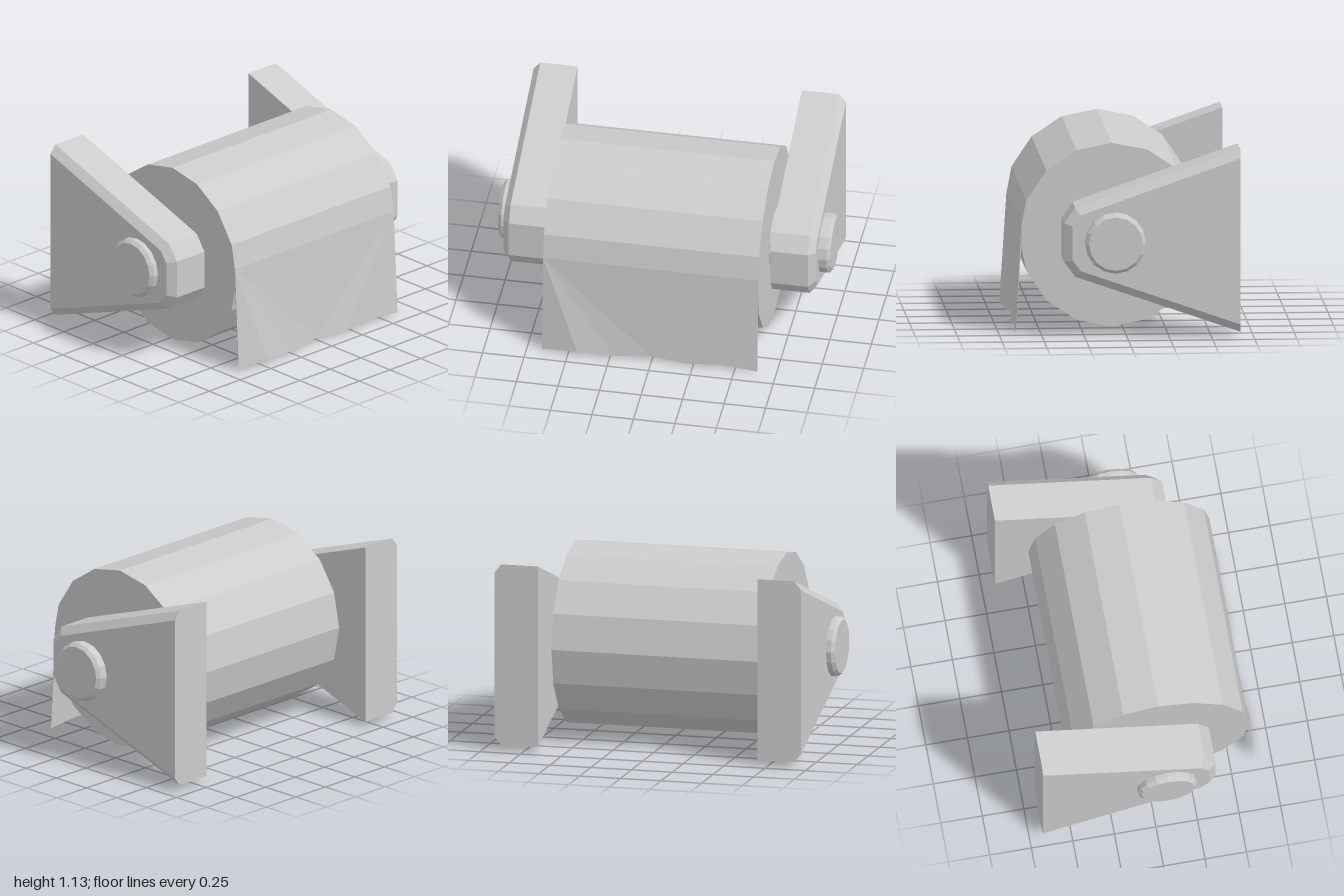
import * as THREE from 'three';

const AXIS_Y = 0.58, AXIS_Z = 0.075;

// Flat-shaded mesh from a list of [x, y, z] corners, three per triangle
function facetMesh(name, corners, side = THREE.FrontSide) {
  const geometry = new THREE.BufferGeometry();
  geometry.setAttribute('position', new THREE.Float32BufferAttribute(corners.flat(), 3));
  geometry.computeVertexNormals();
  const mesh = new THREE.Mesh(geometry,
    new THREE.MeshStandardMaterial({ color: 0xcccccc, flatShading: true, side }));
  mesh.name = name;
  return mesh;
}

// Solid along x through convex [z, y] rings, with capped ends
function loft(name, sections) {
  const rings = sections.map(([x, ring]) => ring.map(([z, y]) => [x, y, z]));
  const n = rings[0].length, last = rings[rings.length - 1], out = [];
  for (let s = 0; s + 1 < rings.length; s++) {
    const a = rings[s], b = rings[s + 1];
    for (let i = 0; i < n; i++) {
      const j = (i + 1) % n;
      out.push(a[i], a[j], b[j], a[i], b[j], b[i]);
    }
  }
  for (let i = 1; i + 1 < n; i++) {
    out.push(last[0], last[i], last[i + 1], rings[0][0], rings[0][i + 1], rings[0][i]);
  }
  return facetMesh(name, out);
}

function circle(radius) {
  return Array.from({ length: 16 }, (_, i) => {
    const a = i * Math.PI / 8;
    return [AXIS_Z + radius * Math.sin(a), AXIS_Y + radius * Math.cos(a)];
  });
}

export function createModel() {
  const model = new THREE.Group();

  // Paper roll, its front ridge cut flat where the loose sheet leaves it
  const rollRing = circle(0.55);
  rollRing.splice(4, 1, [0.612, 0.64], [0.612, 0.51]);
  model.add(loft('paperRoll', [[-0.66, rollRing], [0.635, rollRing]]));

  // Loose sheet with a wavy torn lower edge, tapering to nothing
  const hem = [
    [-0.66, 0, 0.645], [-0.445, 0.022, 0.67], [-0.23, 0.003, 0.646], [-0.012, 0.022, 0.632],
    [0.203, 0.003, 0.646], [0.42, 0.02, 0.642], [0.635, 0, 0.645],
  ];
  const sheet = [];
  const fan = (y, flip) => {
    const left = [-0.66, y, 0.613], right = [0.635, y, 0.613];
    const add = (a, b, c) => sheet.push(...(flip ? [a, c, b] : [a, b, c]));
    for (let i = 0; i < 6; i++) add(i < 3 ? left : right, hem[i], hem[i + 1]);
    add(left, hem[3], right);
  };
  fan(0.64, false);
  fan(0.51, true);
  sheet.push([-0.66, 0.64, 0.613], [-0.66, 0.51, 0.613], hem[0]);
  sheet.push([0.635, 0.64, 0.613], hem[6], [0.635, 0.51, 0.613]);
  model.add(facetMesh('looseSheet', sheet, THREE.DoubleSide));

  // Side brackets, bevelled on the outer face
  const outer = [[-0.67, 1.125], [0.31, 0.785], [0.375, 0.69], [0.375, 0.46], [0.31, 0.37], [-0.67, 0.03]];
  const inner = [[-0.67, 1.075], [0.28, 0.743], [0.327, 0.677], [0.327, 0.473], [0.28, 0.41], [-0.67, 0.08]];
  model.add(loft('leftBracket', [[0.665, outer], [0.89, outer], [0.93, inner]]));
  model.add(loft('rightBracket', [[-0.95, inner], [-0.91, outer], [-0.685, outer]]));

  // Axle with bevelled ends
  const pin = circle(0.18), pinEnd = circle(0.16);
  model.add(loft('axle', [[-1, pinEnd], [-0.98, pin], [0.98, pin], [1, pinEnd]]));

  return model;
}
